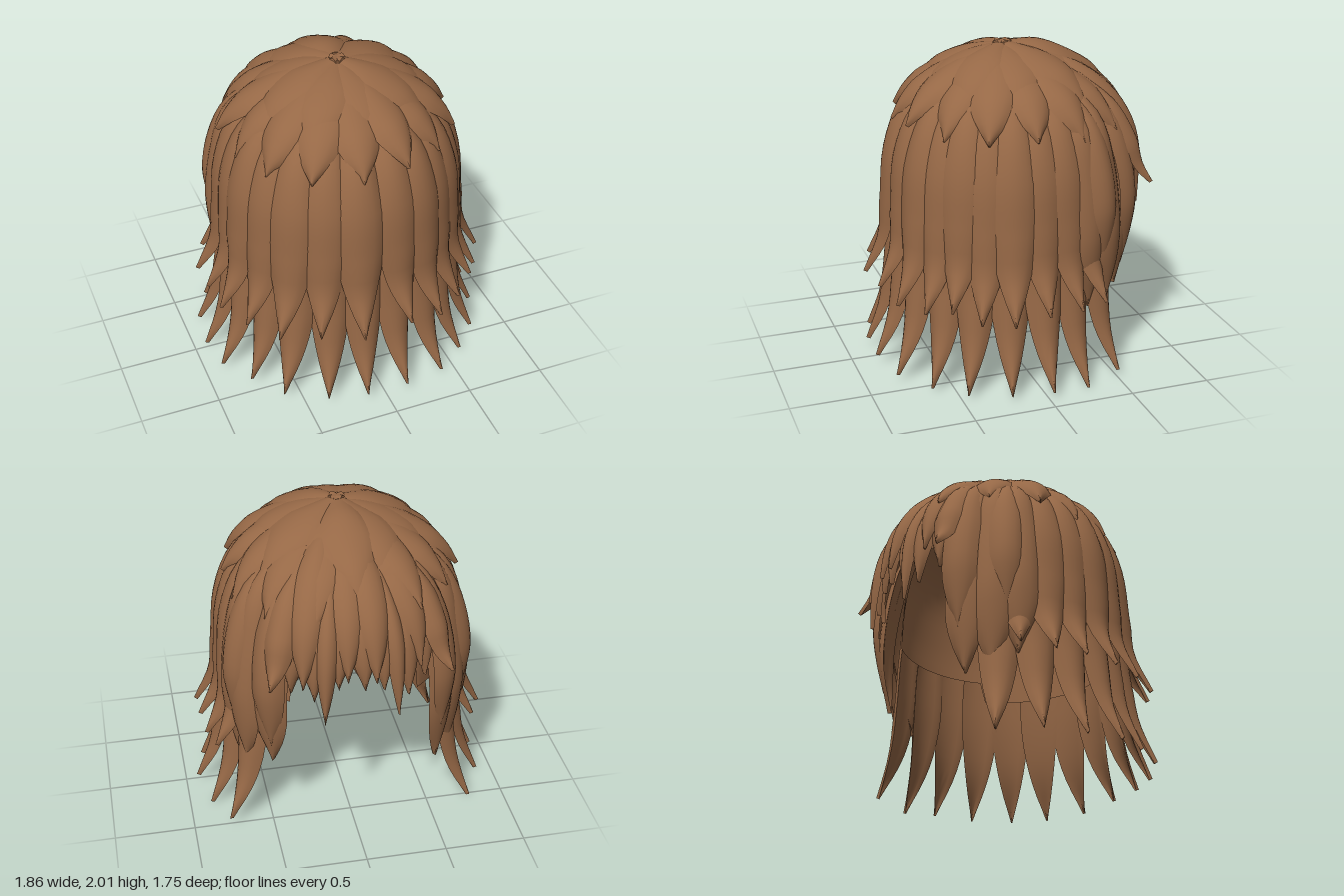
import * as THREE from 'three';
import { toCreasedNormals } from 'three/addons/utils/BufferGeometryUtils.js';

const rad = THREE.MathUtils.degToRad;

// Small seeded generator, returns -1..1
let seed = 7;
function jitter() {
  seed = (seed * 16807) % 2147483647;
  return (seed / 2147483647) * 2 - 1;
}

// Head is a little flatter on the +z side
const place = (a, r, y) =>
  new THREE.Vector3(r * Math.sin(a), y, r * Math.cos(a) * (Math.cos(a) > 0 ? 0.97 : 1));

// One leaf-shaped lock: crescent cross-sections swept down a meridian of (radius, height) points
function lockGeometry({ path, angle, drift, width, bulge = 0.045, startWidth = 0.6, taper = 0.5, lift }) {
  const curve = new THREE.CatmullRomCurve3(path.map(([r, y]) => new THREE.Vector3(r, y, 0)));
  const steps = 18, across = 8, ring = across * 2;
  const pos = [], index = [];
  for (let i = 0; i <= steps; i++) {
    const t = i / steps;
    const p = curve.getPointAt(t), d = curve.getTangentAt(t);
    const a = angle + drift * t * t;
    const side = new THREE.Vector3(Math.cos(a), 0, -Math.sin(a));
    const out = new THREE.Vector3(-d.y * Math.sin(a), d.x, -d.y * Math.cos(a));
    const s = Math.max(0, (t - taper) / (1 - taper));
    const w = (width / 2) * Math.min(1, startWidth + (1 - startWidth) * t / 0.4) * Math.max(0.03, 1 - Math.pow(s, 1.9));
    const h = bulge * (0.25 + 0.75 * Math.min(1, (1 - t) * 3));
    const centre = place(a, p.x, p.y);
    for (let j = 0; j < ring; j++) {
      const outer = j < across;
      const u = outer ? -1 + (2 * j) / across : 1 - (2 * (j - across)) / across;
      const n = outer ? h * (1 - u * u) : -0.3 * h * u * u;
      const v = centre.clone().addScaledVector(side, u * w).addScaledVector(out, n + lift - 0.012 * u * u);
      pos.push(v.x, v.y, v.z);
    }
  }
  for (let i = 0; i < steps; i++) {
    for (let j = 0; j < ring; j++) {
      const k = (j + 1) % ring;
      const a = i * ring + j, b = i * ring + k, c = a + ring, e = b + ring;
      index.push(a, c, b, b, c, e);
    }
  }
  const last = steps * ring;
  for (let j = 1; j < ring - 1; j++) {
    index.push(0, j, j + 1, last, last + j + 1, last + j);
  }
  const g = new THREE.BufferGeometry();
  g.setAttribute('position', new THREE.Float32BufferAttribute(pos, 3));
  g.setIndex(index);
  return toCreasedNormals(g, rad(50));
}

// Scalp shell: deep at the nape, stepped up at the sides and cut high over the face opening
function scalpGeometry() {
  const profile = new THREE.CatmullRomCurve3(
    [[0.001, 1.92], [0.3, 1.845], [0.5, 1.7], [0.62, 1.48], [0.665, 1.15], [0.665, 0.8]]
      .map(([r, y]) => new THREE.Vector3(r, y, 0)));
  const rows = 20, cols = 120, pos = [], index = [];
  for (let i = 0; i <= rows; i++) {
    for (let j = 0; j <= cols; j++) {
      const a = -Math.PI + (j / cols) * Math.PI * 2;
      const turn = Math.abs(a);
      const end = turn > rad(146) ? 0.62 : turn > rad(74) ? 0.91 : 1;
      const p = profile.getPointAt((i / rows) * end);
      pos.push(...place(a, p.x, p.y).toArray());
    }
  }
  for (let i = 0; i < rows; i++) {
    for (let j = 0; j < cols; j++) {
      const a = i * (cols + 1) + j, c = a + cols + 1;
      index.push(a, c, a + 1, a + 1, c, c + 1);
    }
  }
  const g = new THREE.BufferGeometry();
  g.setAttribute('position', new THREE.Float32BufferAttribute(pos, 3));
  g.setIndex(index);
  g.computeVertexNormals();
  return g;
}

export function createModel() {
  const model = new THREE.Group();
  model.name = 'hair';
  const brown = new THREE.MeshStandardMaterial({ color: 0x966846, side: THREE.DoubleSide });
  brown.name = 'brown hair';

  const scalp = new THREE.Mesh(scalpGeometry(), brown);
  scalp.name = 'scalp';
  model.add(scalp);

  // A layer is a ring of locks sharing one path, with slight variation of the tips
  function addLayer(name, angles, path, options, tipVary = 0.035) {
    const { backGrow = 0, ...shape } = options;
    const layer = new THREE.Group();
    layer.name = name;
    angles.forEach((deg, i) => {
      const dy = jitter() * tipVary;
      const dr = jitter() * 0.015;
      const grow = 1 + backGrow * Math.max(0, -Math.cos(rad(deg)));
      const own = path.map(([r, y], k) => {
        const f = Math.pow(k / (path.length - 1), 2);
        return [r * grow + dr * f, y + dy * f];
      });
      const mesh = new THREE.Mesh(lockGeometry({
        ...shape, path: own, angle: rad(deg), drift: rad(jitter() * 0.8), lift: (i % 2) * 0.01,
      }), brown);
      mesh.name = name + 'Lock';
      layer.add(mesh);
    });
    model.add(layer);
  }
  const spread = (from, step, count) => Array.from({ length: count }, (_, i) => from + step * i);

  // Longest locks, sides and nape
  addLayer('lower', spread(-123, 16.4, 16),
    [[0.66, 1.45], [0.7, 1.2], [0.715, 0.9], [0.735, 0.6], [0.79, 0.32], [0.91, 0.05]],
    { width: 0.25, taper: 0.5 });

  // Middle locks, flaring out at half height
  addLayer('middle', [-114, -102, -88, -74, -59, -43, -27, -10, 10, 25, 38, 50, 63, 76, 90, 103, 114],
    [[0.42, 1.79], [0.61, 1.61], [0.71, 1.35], [0.745, 1.0], [0.775, 0.78], [0.9, 0.53]],
    { width: 0.3, taper: 0.52 });

  // Locks framing the face opening
  for (const s of [-1, 1]) {
    addLayer('sideFrame', [114, 125, 137].map((a) => a * s),
      [[0.45, 1.79], [0.66, 1.6], [0.75, 1.3], [0.79, 1.0], [0.79, 0.75], [0.76, 0.48]],
      { width: 0.25, taper: 0.72 }, 0.06);
    addLayer('shortSideFrame', [120 * s, 139 * s],
      [[0.45, 1.79], [0.67, 1.6], [0.78, 1.35], [0.82, 1.1], [0.81, 0.9], [0.78, 0.7]],
      { width: 0.22, taper: 0.65 }, 0.06);
    addLayer('flaredSide', [144.5 * s],
      [[0.45, 1.81], [0.68, 1.64], [0.8, 1.45], [0.86, 1.3], [0.94, 1.2]],
      { width: 0.2, taper: 0.6 }, 0.02);
  }

  // Fringe over the face opening
  addLayer('fringe', [-149, -159, -170, 180, 170, 159, 149],
    [[0.2, 1.89], [0.42, 1.83], [0.62, 1.66], [0.74, 1.46], [0.79, 1.27], [0.79, 1.1]],
    { width: 0.2, taper: 0.6 }, 0.06);
  addLayer('fringeTop', [-155, -175, 174, 155],
    [[0.2, 1.91], [0.45, 1.84], [0.66, 1.68], [0.78, 1.48], [0.82, 1.33], [0.84, 1.2]],
    { width: 0.22, taper: 0.5, bulge: 0.035 }, 0.06);
  addLayer('fringeWisp', [-166, 165],
    [[0.45, 1.83], [0.66, 1.66], [0.78, 1.46], [0.83, 1.2], [0.84, 0.95]],
    { width: 0.13, taper: 0.5, bulge: 0.03 }, 0.02);

  // Overlapping crown petals
  addLayer('crown', spread(-8, 24, 15),
    [[0.08, 1.93], [0.3, 1.875], [0.5, 1.77], [0.63, 1.66], [0.705, 1.55]],
    { width: 0.31, taper: 0.5, startWidth: 0.3, backGrow: 0.08 }, 0.03);
  addLayer('crownTop', spread(4, 40, 9),
    [[-0.05, 1.965], [0.2, 1.93], [0.39, 1.855], [0.52, 1.76], [0.59, 1.67]],
    { width: 0.36, taper: 0.5, startWidth: 0.25, backGrow: 0.1, bulge: 0.04 }, 0.05);
  addLayer('partingPetal', [180],
    [[0.05, 1.97], [0.22, 1.965], [0.42, 1.885], [0.6, 1.77], [0.74, 1.6]],
    { width: 0.34, taper: 0.3, bulge: 0.035 }, 0);

  // Centre on the ground
  const box = new THREE.Box3().setFromObject(model);
  const c = box.getCenter(new THREE.Vector3());
  model.position.set(-c.x, -box.min.y, -c.z);
  return model;
}
